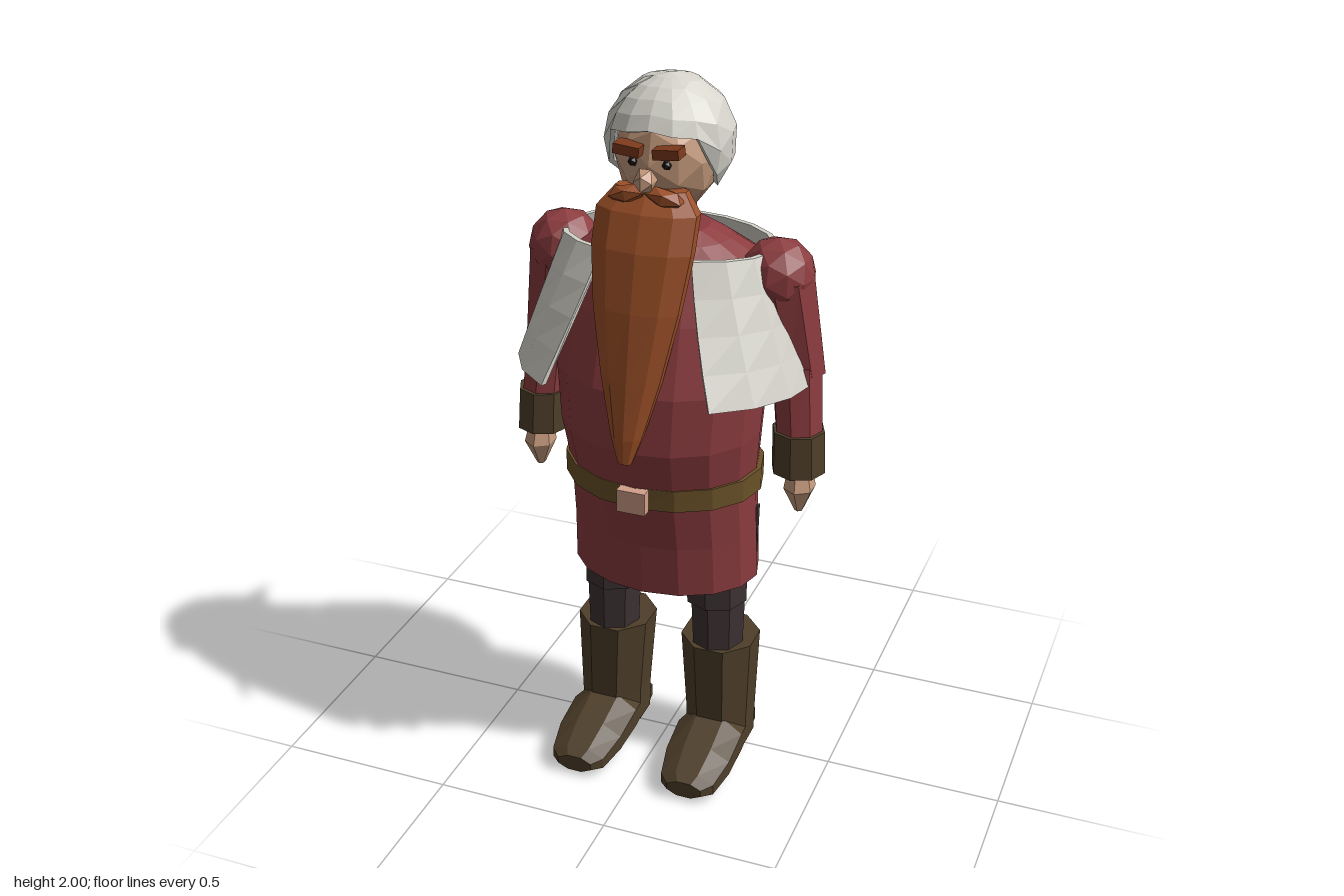
import * as THREE from 'three';

const mat = (name, color, side = THREE.FrontSide) => {
  const m = new THREE.MeshStandardMaterial({ color, flatShading: true, side });
  m.name = name;
  return m;
};

// Joins closed rings of points, given bottom to top, into a skin.
function skin(rings, caps = true) {
  const n = rings[0].length, pos = [];
  const tri = (a, b, c) => pos.push(...a, ...b, ...c);
  for (let i = 0; i < rings.length - 1; i++) {
    for (let j = 0; j < n; j++) {
      const k = (j + 1) % n, lo = rings[i], hi = rings[i + 1];
      tri(lo[j], lo[k], hi[k]);
      tri(lo[j], hi[k], hi[j]);
    }
  }
  const mid = (r) => [0, 1, 2].map((a) => r.reduce((s, p) => s + p[a], 0) / n);
  if (caps) {
    const lo = rings[0], hi = rings[rings.length - 1], cl = mid(lo), ch = mid(hi);
    for (let j = 0; j < n; j++) {
      const k = (j + 1) % n;
      tri(cl, lo[k], lo[j]);
      tri(ch, hi[j], hi[k]);
    }
  }
  const g = new THREE.BufferGeometry();
  g.setAttribute('position', new THREE.Float32BufferAttribute(pos, 3));
  g.computeVertexNormals();
  return g;
}

// Elliptical sections: [y, radiusX, radiusZ, centreX, centreZ]
function loft(sections, n = 8, phase = 0) {
  return skin(sections.map(([y, rx, rz, cx = 0, cz = 0]) =>
    Array.from({ length: n }, (_, j) => {
      const t = phase + (j / n) * Math.PI * 2;
      return [cx + rx * Math.sin(t), y, cz + rz * Math.cos(t)];
    })));
}

export function createModel() {
  const model = new THREE.Group();
  const red = mat('red cloth', 0x8c3c3f), white = mat('pale cloth', 0xd6d4cb, THREE.DoubleSide);
  const skinTone = mat('skin', 0xc59a7c), orange = mat('ginger hair', 0x9b4f27);
  const brow = mat('brow hair', 0x7d3a1c), dark = mat('trousers', 0x3d3233);
  const leather = mat('boot leather', 0x4f3f2a), beltMat = mat('belt leather', 0x6b5229);
  const buckleMat = mat('buckle', 0xd2a08a), black = mat('eye', 0x1c1614);
  const add = (name, geo, m, x = 0, y = 0, z = 0, rz = 0) => {
    const mesh = new THREE.Mesh(geo, m);
    mesh.name = name;
    mesh.position.set(x, y, z);
    mesh.rotation.z = rz;
    model.add(mesh);
    return mesh;
  };
  const lerp = THREE.MathUtils.lerp;

  // Tunic and belt
  add('tunic', loft([
    [0.59, 0.268, 0.197, 0, 0.005], [0.74, 0.265, 0.202, 0, 0.01], [0.9, 0.263, 0.217, 0, 0.025],
    [1.06, 0.28, 0.24, 0, 0.045], [1.22, 0.293, 0.235, 0, 0.04], [1.4, 0.285, 0.205, 0, 0.01],
    [1.53, 0.265, 0.17, 0, -0.012], [1.58, 0.17, 0.125, 0, -0.01], [1.605, 0.11, 0.1, 0, -0.01],
  ], 16), red);
  add('belt', loft([[0.88, 0.28, 0.227, 0, 0.025], [0.945, 0.28, 0.23, 0, 0.025]], 16), beltMat);
  add('buckle', new THREE.BoxGeometry(0.08, 0.065, 0.03), buckleMat, 0, 0.912, 0.265);

  // Open cape: a thin profile swept around the back from one front edge to the other
  const capePoint = (u, v, d) => {
    const t0 = lerp(0.6, 0.43, v), t = lerp(t0, Math.PI * 2 - t0, u), c = Math.cos(t);
    const rz = c > 0 ? lerp(0.385, 0.175, v) : lerp(0.33, 0.2, v);
    return [(lerp(0.41, 0.295, v) - d) * Math.sin(t), lerp(1.21 + 0.03 * c, 1.57, v), (rz - d) * c];
  };
  const capeRings = [];
  for (let i = 0; i <= 16; i++) {
    const ring = [];
    for (let r = 0; r <= 4; r++) ring.push(capePoint(i / 16, r / 4, 0));
    for (let r = 4; r >= 0; r--) ring.push(capePoint(i / 16, r / 4, 0.015));
    capeRings.push(ring);
  }
  add('cape', skin(capeRings), white);

  // Neck, head and nose
  add('neck', loft([[1.56, 0.075, 0.08, 0, -0.01], [1.74, 0.075, 0.08, 0, -0.01]]), skinTone);
  add('head', new THREE.IcosahedronGeometry(1, 1).scale(0.14, 0.16, 0.145), skinTone, 0, 1.8, -0.005);
  add('nose', new THREE.IcosahedronGeometry(1, 0).scale(0.03, 0.036, 0.04), skinTone, 0, 1.77, 0.16);

  // Cap: a dome cut high over the face, low at the sides and back
  const capRings = [];
  const capRing = (f, size) => Array.from({ length: 16 }, (_, j) => {
    const t = (j / 16) * Math.PI * 2, away = Math.min(j, 16 - j);
    const limit = [1.2, 1.27, 1.32, 1.95, 2.3][Math.min(away, 4)];
    const p = limit * f, r = size * Math.sin(p);
    return [r * Math.sin(t), 1.83 + size * Math.cos(p), r * Math.cos(t) - 0.018];
  });
  capRings.push(capRing(0.95, 0.15), capRing(1, 0.158));
  for (const f of [1, 0.8, 0.6, 0.4, 0.2, 0]) capRings.push(capRing(f, 0.172));
  add('cap', skin(capRings, false), white);
  add('capTuft', new THREE.ConeGeometry(0.06, 0.13, 4).rotateX(-Math.PI / 2).scale(0.85, 1, 1),
    white, 0, 1.845, -0.21);

  // Beard
  add('beard', loft([
    [1.05, 0.02, 0.012, 0, 0.315], [1.12, 0.045, 0.03, 0, 0.297], [1.27, 0.085, 0.04, 0, 0.262],
    [1.45, 0.122, 0.05, 0, 0.22], [1.6, 0.142, 0.055, 0, 0.178], [1.69, 0.143, 0.055, 0, 0.14],
    [1.74, 0.1, 0.04, 0, 0.115],
  ], 10), orange);

  for (const s of [1, -1]) {
    const side = s > 0 ? 'left' : 'right';
    const part = (name, secs, m, n = 8, phase = 0) =>
      add(side + name, loft(secs.map(([y, rx, rz, cx, cz]) => [y, rx, rz, cx * s, cz]), n, phase), m);

    // Face details
    add(side + 'Moustache', new THREE.IcosahedronGeometry(1, 0).scale(0.058, 0.026, 0.03),
      orange, s * 0.05, 1.73, 0.155, -s * 0.2);
    add(side + 'Eyebrow', new THREE.BoxGeometry(0.07, 0.026, 0.05), brow, s * 0.053, 1.842, 0.135, s * 0.1);
    add(side + 'Eye', new THREE.IcosahedronGeometry(0.013, 0), black, s * 0.046, 1.806, 0.13);

    // Arm
    add(side + 'Shoulder', new THREE.IcosahedronGeometry(0.1, 1), red, s * 0.3, 1.5, -0.012);
    part('UpperArm', [[1.23, 0.075, 0.07, 0.358, -0.03], [1.5, 0.085, 0.092, 0.315, -0.012]], red);
    part('Forearm', [[1.03, 0.065, 0.068, 0.375, -0.005], [1.26, 0.07, 0.07, 0.355, -0.022]], red);
    part('Cuff', [[0.95, 0.075, 0.075, 0.377, 0.002], [1.07, 0.073, 0.072, 0.373, -0.002]], leather);
    part('Hand', [[0.83, 0.012, 0.015, 0.385, 0.01], [0.9, 0.044, 0.05, 0.385, 0.01],
      [0.97, 0.03, 0.035, 0.382, 0.005]], skinTone, 6);

    // Leg and boot
    part('Thigh', [[0.51, 0.09, 0.092, 0.155, 0.022], [0.7, 0.095, 0.098, 0.15, 0.02]], dark);
    part('Shin', [[0.34, 0.075, 0.08, 0.16, 0.02], [0.53, 0.082, 0.085, 0.158, 0.02]], dark);
    part('BootShaft', [[0.03, 0.098, 0.104, 0.165, 0], [0.13, 0.1, 0.108, 0.165, 0],
      [0.37, 0.113, 0.117, 0.16, -0.006]], leather, 8, Math.PI / 8);
    const foot = part('BootFoot', [[-0.09, 0.085, 0.05, 0.165, -0.046], [0.09, 0.105, 0.073, 0.165, -0.068],
      [0.2, 0.103, 0.056, 0.167, -0.053], [0.29, 0.085, 0.04, 0.168, -0.038],
      [0.318, 0.055, 0.026, 0.168, -0.036]], leather, 8, Math.PI / 8);
    foot.geometry.rotateX(Math.PI / 2);

    // Narrow slit in the skirt
    add(side + 'SkirtSlit', new THREE.CylinderGeometry(0.012, 0.001, 0.16, 4).scale(0.4, 1, 1),
      dark, s * 0.264, 0.73, -0.005);
  }
  return model;
}
